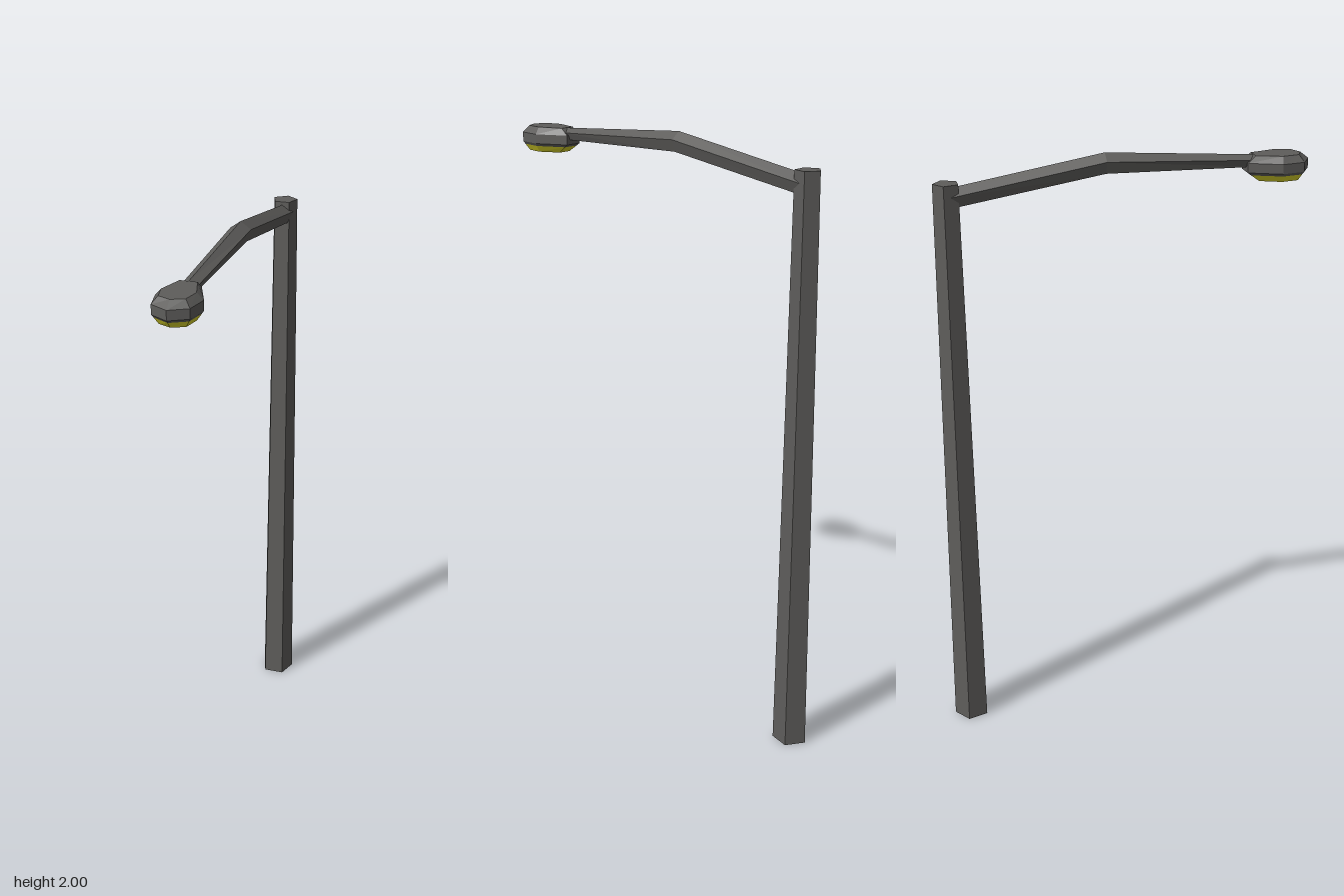
import * as THREE from 'three';

// Skin rings of points, ordered counter-clockwise around the direction of travel, with flat faces.
function loft(rings, capStart, capEnd) {
  const pos = [];
  const tri = (...pts) => pts.forEach((p) => pos.push(p.x, p.y, p.z));
  const n = rings[0].length;
  for (let r = 0; r + 1 < rings.length; r++) {
    const lo = rings[r], hi = rings[r + 1];
    for (let i = 0; i < n; i++) {
      const j = (i + 1) % n;
      tri(lo[i], lo[j], hi[j]);
      tri(lo[i], hi[j], hi[i]);
    }
  }
  const cap = (ring, flip) => {
    const mid = ring.reduce((s, p) => s.add(p), new THREE.Vector3()).divideScalar(n);
    ring.forEach((p, i) => {
      const q = ring[(i + 1) % n];
      if (flip) tri(mid, q, p);
      else tri(mid, p, q);
    });
  };
  if (capStart) cap(rings[0], true);
  if (capEnd) cap(rings[rings.length - 1], false);
  const geo = new THREE.BufferGeometry();
  geo.setAttribute('position', new THREE.Float32BufferAttribute(pos, 3));
  geo.computeVertexNormals();
  return geo;
}

const five = [0, 1, 2, 3, 4].map((i) => (i * Math.PI * 2) / 5);

// Horizontal pentagon with its point towards the back.
const poleRing = (y, z, r) =>
  five.map((a) => new THREE.Vector3(-Math.sin(a) * r, y, z - Math.cos(a) * r));

// Upright pentagon with its point up, given half width and top and bottom heights.
const armRing = (z, halfWidth, top, bottom) => {
  const ry = (top - bottom) / 1.809, rx = halfWidth / 0.951;
  return five.map((a) => new THREE.Vector3(-Math.sin(a) * rx, top - ry + Math.cos(a) * ry, z));
};

// Seven-sided lamp outline from half of its points, mirrored across x.
const headRing = (y, half) => {
  const mirrored = half.slice(1).reverse().map(([x, z]) => [-x, z]);
  return [...half, ...mirrored].map(([x, z]) => new THREE.Vector3(x, y, z));
};

export function createModel() {
  const metal = new THREE.MeshStandardMaterial({ color: 0x5e5d5b, side: THREE.DoubleSide });
  metal.name = 'darkGreyMetal';
  const glass = new THREE.MeshStandardMaterial({ color: 0xe0da2c });
  glass.name = 'yellowGlass';

  const model = new THREE.Group();
  model.name = 'streetLamp';
  const add = (name, geo, mat) => {
    const mesh = new THREE.Mesh(geo, mat);
    mesh.name = name;
    model.add(mesh);
  };

  // Tapered pole, open underneath
  add('pole', loft([poleRing(0, -0.559, 0.06), poleRing(1.93, -0.56, 0.043)], false, true), metal);

  // Bent arm, thinning towards the lamp
  add('arm', loft([
    armRing(-0.55, 0.034, 1.915, 1.855),
    armRing(-0.058, 0.034, 2.0, 1.937),
    armRing(0.44, 0.025, 1.968, 1.931),
  ], true, true), metal);

  // Lamp housing with bevelled top and a narrow lip underneath
  const rim = [[0, 0.619], [0.058, 0.586], [0.073, 0.51], [0.03, 0.405]];
  const roof = [[0, 0.59], [0.041, 0.572], [0.053, 0.515], [0.027, 0.432]];
  const lip = [[0, 0.61], [0.053, 0.581], [0.067, 0.512], [0.028, 0.417]];
  const base = [[0, 0.59], [0.041, 0.572], [0.053, 0.515], [0.024, 0.447]];
  add('lampHousing', loft([
    headRing(1.907, lip), headRing(1.916, rim), headRing(1.947, rim), headRing(1.969, roof),
  ], false, true), metal);

  // Glowing lens underneath
  add('lampLens', loft([headRing(1.886, base), headRing(1.907, lip)], true, false), glass);

  return model;
}
